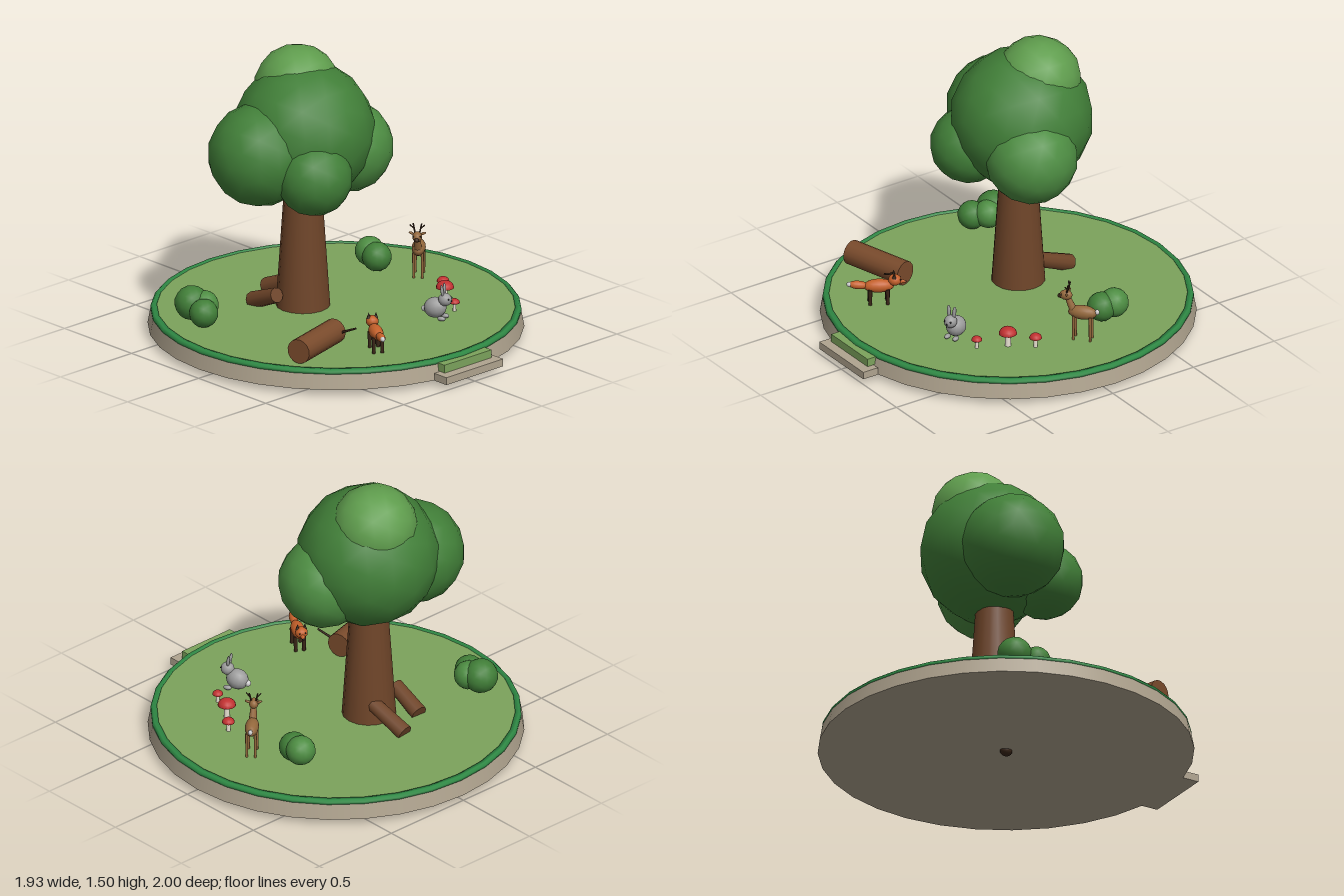
import * as THREE from 'three';

const C = {
  stone: 0xb0a48f, rim: 0x2f8a45, grass: 0x7ca35c, bark: 0x6f4529, log: 0x7a4b2c,
  leaf: 0x417f38, leafMid: 0x4d8d42, leafLight: 0x5f9d4d, red: 0xc03030, pale: 0xe6dfd0,
  grey: 0x9c9c9c, orange: 0xc4602a, dark: 0x3a2618, deer: 0x94683c, white: 0xf2f2f2, black: 0x1a1a1a,
};
const mats = {};
const mat = (color) => (mats[color] ??= new THREE.MeshStandardMaterial({ color }));
const V = (p) => new THREE.Vector3(...p);

function add(parent, name, geometry, color, pos = [0, 0, 0]) {
  const mesh = new THREE.Mesh(geometry, mat(color));
  mesh.name = name;
  mesh.position.set(...pos);
  parent.add(mesh);
  return mesh;
}

// Ellipsoid with half-sizes [x, y, z]
function blob(parent, name, size, color, pos, tilt = 0) {
  const mesh = add(parent, name, new THREE.SphereGeometry(1, 14, 10), color, pos);
  mesh.scale.set(...size);
  mesh.rotation.x = tilt;
  return mesh;
}

// Tapered round bar between two points
function rod(parent, name, a, b, ra, rb, color, sides = 8) {
  const A = V(a), B = V(b), d = B.clone().sub(A);
  const mesh = add(parent, name, new THREE.CylinderGeometry(rb, ra, d.length(), sides), color);
  mesh.position.copy(A).add(B).multiplyScalar(0.5);
  mesh.quaternion.setFromUnitVectors(new THREE.Vector3(0, 1, 0), d.normalize());
  return mesh;
}

// Rounded clump of leaves
function foliage(parent, name, r, pos, color) {
  return add(parent, name, new THREE.IcosahedronGeometry(r, 2), color, pos);
}

function group(parent, name, pos = [0, 0, 0], turn = 0) {
  const g = new THREE.Group();
  g.name = name;
  g.position.set(...pos);
  g.rotation.y = turn;
  parent.add(g);
  return g;
}

function buildBase(root) {
  const g = group(root, 'base', [0, 0, -0.035]);
  add(g, 'plinth', new THREE.CylinderGeometry(0.95, 0.965, 0.08, 32), C.stone, [0, 0.07, 0]);
  add(g, 'grass', new THREE.CylinderGeometry(0.925, 0.925, 0.02, 32), C.grass, [0, 0.118, 0]);
  const ring = [[0.918, 0.108], [0.95, 0.108], [0.95, 0.122], [0.94, 0.133], [0.918, 0.133], [0.918, 0.108]];
  const edge = new THREE.LatheGeometry(ring.map((p) => new THREE.Vector2(...p)), 32);
  add(g, 'grassRim', edge, C.rim);
  blob(g, 'undersideKnob', [0.028, 0.03, 0.034], C.dark, [0, 0.03, 0]);
  // Front step with a grassy block above it
  add(root, 'frontStep', new THREE.BoxGeometry(0.4, 0.04, 0.09), C.stone, [0, 0.05, 0.955]);
  add(root, 'frontPanel', new THREE.BoxGeometry(0.33, 0.043, 0.09), C.grass, [0, 0.094, 0.905]);
}

function buildTree(root) {
  const g = group(root, 'tree');
  rod(g, 'trunk', [-0.105, 0.12, -0.17], [-0.105, 0.95, -0.17], 0.14, 0.085, C.bark, 16);
  rod(g, 'backRoot', [-0.08, 0.14, -0.47], [-0.05, 0.25, -0.22], 0.045, 0.04, C.bark, 10);
  rod(g, 'sideRoot', [-0.27, 0.14, -0.37], [-0.28, 0.22, -0.18], 0.045, 0.04, C.bark, 10);
  [
    ['mainCanopy', 0.37, [-0.09, 1.07, -0.18], C.leaf],
    ['topCanopy', 0.225, [-0.06, 1.28, -0.26], C.leafLight],
    ['rightCanopy', 0.27, [-0.36, 1.0, -0.22], C.leaf],
    ['leftCanopy', 0.24, [0.13, 0.957, -0.09], C.leafMid],
    ['frontCanopy', 0.2, [-0.235, 0.915, 0.05], C.leaf],
  ].forEach(([name, r, pos, color]) => foliage(g, name, r, pos, color));
}

function buildPlants(root) {
  const right = group(root, 'rightBush');
  foliage(right, 'bushClump', 0.09, [-0.67, 0.22, -0.4], C.leaf);
  foliage(right, 'bushClump', 0.075, [-0.695, 0.2, -0.285], C.leaf);
  foliage(right, 'bushClump', 0.075, [-0.635, 0.215, -0.345], C.leafMid);
  const left = group(root, 'leftBush');
  foliage(left, 'bushClump', 0.077, [0.52, 0.215, -0.335], C.leafMid);
  foliage(left, 'bushClump', 0.077, [0.507, 0.205, -0.268], C.leaf);

  const log = group(root, 'fallenLog');
  rod(log, 'logTrunk', [-0.718, 0.195, 0.446], [-0.372, 0.195, 0.35], 0.065, 0.065, C.log, 16);
  rod(log, 'logTwig', [-0.39, 0.2, 0.4], [-0.355, 0.24, 0.49], 0.007, 0.005, C.dark, 6);

  // Mushrooms: x, z, cap radius, cap base height
  [[0.555, 0.175, 0.033, 0.178], [0.465, 0.285, 0.047, 0.197], [0.395, 0.43, 0.028, 0.172]].forEach(([x, z, r, y]) => {
    const m = group(root, 'mushroom', [x, 0, z]);
    rod(m, 'stem', [0, 0.12, 0], [0, y + 0.003, 0], r * 0.35, r * 0.28, C.pale, 10);
    const dome = add(m, 'cap', new THREE.SphereGeometry(r, 14, 6, 0, Math.PI * 2, 0, Math.PI / 2), C.red, [0, y, 0]);
    dome.scale.y = 0.8;
    add(m, 'capUnderside', new THREE.CylinderGeometry(r, r * 0.9, 0.003, 14), C.red, [0, y, 0]);
  });
}

// Four legs under a body whose feet rest at y = 0
function legs(g, x, zs, top, r, color) {
  for (const z of zs) for (const s of [-1, 1]) rod(g, 'leg', [s * x, -0.01, z], [s * x, top, z], r * 0.85, r, color);
}

function buildRabbit(root) {
  const g = group(root, 'rabbit', [0.245, 0.135, 0.465], 0.42);
  blob(g, 'body', [0.05, 0.054, 0.06], C.grey, [0, 0.058, -0.015], -0.25);
  blob(g, 'head', [0.034, 0.034, 0.036], C.grey, [0, 0.108, 0.04]);
  blob(g, 'tail', [0.017, 0.017, 0.017], C.white, [0, 0.045, -0.073]);
  blob(g, 'nose', [0.005, 0.004, 0.005], C.black, [0, 0.104, 0.076]);
  for (const s of [-1, 1]) {
    blob(g, 'ear', [0.011, 0.034, 0.008], C.grey, [s * 0.016, 0.158, 0.03], -0.1).rotation.z = -s * 0.1;
    blob(g, 'eye', [0.005, 0.005, 0.005], C.black, [s * 0.018, 0.117, 0.068]);
    blob(g, 'paw', [0.014, 0.012, 0.022], C.grey, [s * 0.025, 0.01, 0.03]);
  }
}

function buildFox(root) {
  const g = group(root, 'fox', [-0.29, 0.135, 0.57], 2.62);
  blob(g, 'body', [0.036, 0.036, 0.08], C.orange, [0, 0.092, 0]);
  blob(g, 'head', [0.033, 0.03, 0.034], C.orange, [0, 0.122, 0.082]);
  rod(g, 'snout', [0, 0.115, 0.1], [0, 0.11, 0.138], 0.017, 0.006, C.orange);
  blob(g, 'nose', [0.006, 0.006, 0.006], C.black, [0, 0.111, 0.138]);
  blob(g, 'tail', [0.022, 0.022, 0.052], C.orange, [0, 0.1, -0.105], 0.12);
  blob(g, 'tailTip', [0.013, 0.013, 0.016], C.white, [0, 0.105, -0.15]);
  legs(g, 0.022, [-0.045, 0.045], 0.08, 0.011, C.dark);
  for (const s of [-1, 1]) {
    add(g, 'ear', new THREE.ConeGeometry(0.012, 0.032, 6), C.dark, [s * 0.019, 0.155, 0.078]);
    blob(g, 'eye', [0.004, 0.004, 0.004], C.black, [s * 0.015, 0.13, 0.111]);
  }
}

function buildDeer(root) {
  const g = group(root, 'deer', [0.615, 0.135, -0.07], -0.85);
  blob(g, 'body', [0.036, 0.038, 0.077], C.deer, [0, 0.145, -0.005]);
  rod(g, 'neck', [0, 0.155, 0.045], [0, 0.225, 0.075], 0.022, 0.015, C.deer);
  blob(g, 'head', [0.025, 0.027, 0.034], C.deer, [0, 0.235, 0.083]);
  blob(g, 'muzzle', [0.013, 0.012, 0.016], C.dark, [0, 0.227, 0.112]);
  blob(g, 'tail', [0.012, 0.015, 0.012], C.white, [0, 0.155, -0.082]);
  legs(g, 0.022, [-0.05, 0.038], 0.13, 0.008, C.deer);
  for (const s of [-1, 1]) {
    blob(g, 'ear', [0.016, 0.007, 0.006], C.deer, [s * 0.03, 0.25, 0.072]).rotation.z = s * 0.4;
    rod(g, 'antler', [s * 0.011, 0.25, 0.076], [s * 0.022, 0.302, 0.066], 0.005, 0.004, C.dark, 6);
    rod(g, 'antlerTine', [s * 0.017, 0.276, 0.071], [s * 0.038, 0.298, 0.078], 0.004, 0.003, C.dark, 6);
    blob(g, 'eye', [0.004, 0.004, 0.004], C.black, [s * 0.018, 0.243, 0.104]);
  }
}

export function createModel() {
  const root = new THREE.Group();
  root.name = 'forestDiorama';
  [buildBase, buildTree, buildPlants, buildRabbit, buildFox, buildDeer].forEach((build) => build(root));
  return root;
}
